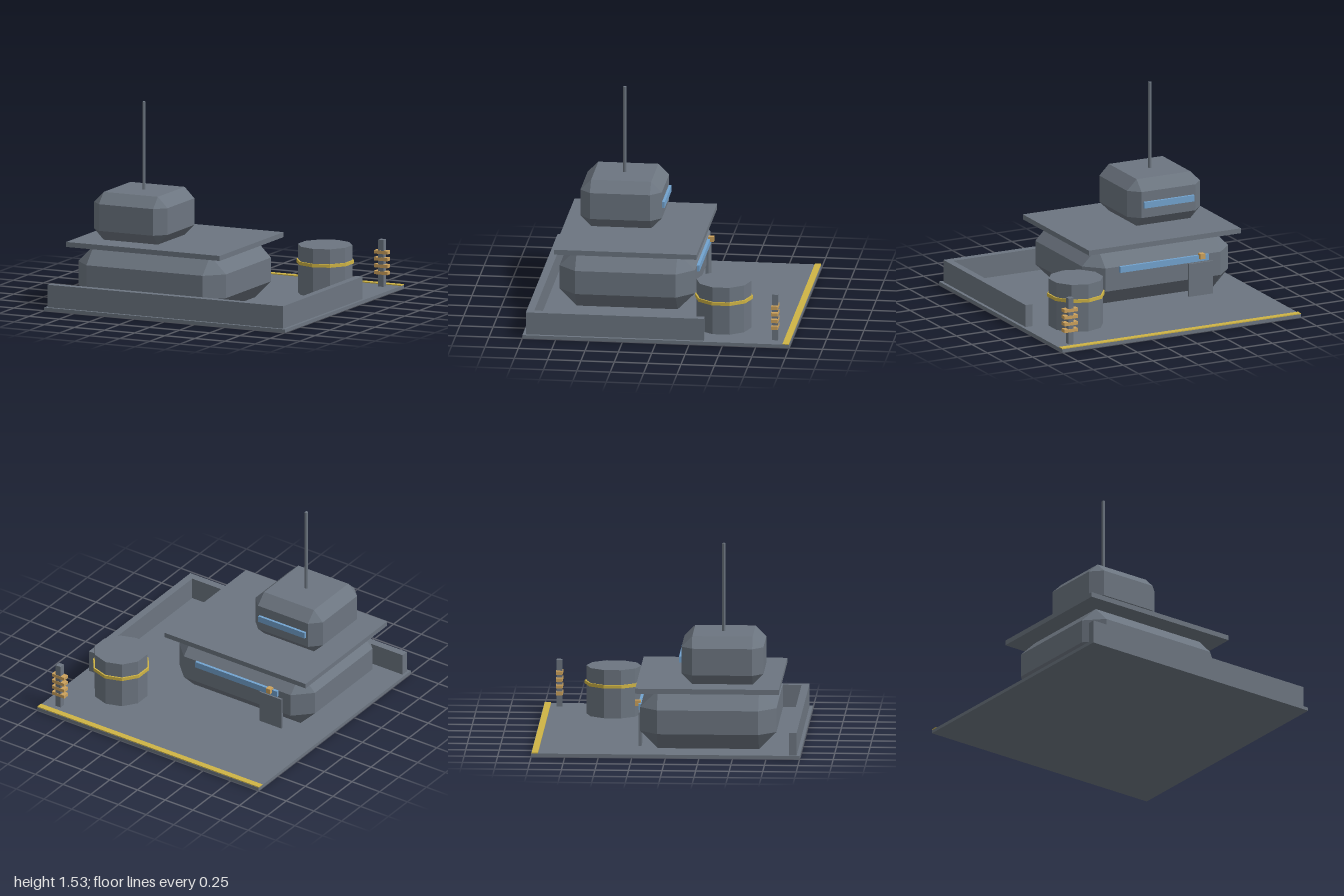
import * as THREE from 'three';
import { ConvexGeometry } from 'three/addons/geometries/ConvexGeometry.js';

const material = (name, color) => {
  const m = new THREE.MeshStandardMaterial({ color });
  m.name = name;
  m.flatShading = true;
  return m;
};

export function createModel() {
  const model = new THREE.Group();
  model.name = 'outpost';
  const grey = material('slateGrey', 0x6c7580);
  const yellow = material('markingYellow', 0xcfb445);
  const orange = material('copperOrange', 0xcda25c);
  const blue = material('windowBlue', 0x72a3cf);

  const add = (name, geometry, mat, x = 0, y = 0, z = 0) => {
    const mesh = new THREE.Mesh(geometry, mat);
    mesh.name = name;
    mesh.position.set(x, y, z);
    model.add(mesh);
    return mesh;
  };

  // Box given by its limits on each axis
  const block = (name, mat, [x0, x1], [y0, y1], [z0, z1]) =>
    add(name, new THREE.BoxGeometry(x1 - x0, y1 - y0, z1 - z0), mat,
      (x0 + x1) / 2, (y0 + y1) / 2, (z0 + z1) / 2);

  // Box with every edge and corner cut at 45 degrees
  const chamferedBlock = (name, mat, [x0, x1], [y0, y1], [z0, z1], cut) => {
    const w = (x1 - x0) / 2, h = (y1 - y0) / 2, d = (z1 - z0) / 2;
    const points = [];
    for (const i of [-1, 1]) for (const j of [-1, 1]) for (const k of [-1, 1]) {
      points.push(
        new THREE.Vector3(i * w, j * (h - cut), k * (d - cut)),
        new THREE.Vector3(i * (w - cut), j * h, k * (d - cut)),
        new THREE.Vector3(i * (w - cut), j * (h - cut), k * d));
    }
    add(name, new ConvexGeometry(points), mat, (x0 + x1) / 2, (y0 + y1) / 2, (z0 + z1) / 2);
  };

  // Ground slab with a marking along the back edge
  block('baseSlab', grey, [-1, 1], [0, 0.025], [-1, 1]);
  block('edgeMarking', yellow, [-1, 1], [0.025, 0.032], [-0.997, -0.95]);

  // Low walls along the front and the left
  block('frontWall', grey, [-0.98, 0.975], [0.025, 0.195], [0.92, 0.977]);
  block('sideWall', grey, [0.92, 0.975], [0.025, 0.195], [-0.357, 0.92]);

  // Two storeys with an overhanging roof between them
  chamferedBlock('lowerStorey', grey, [-0.87, 0.355], [0.025, 0.465], [-0.2, 0.815], 0.13);
  block('roofSlab', grey, [-0.895, 0.38], [0.465, 0.503], [-0.23, 0.84]);
  chamferedBlock('upperStorey', grey, [-0.765, -0.155], [0.503, 0.865], [0.105, 0.715], 0.08);
  add('mast', new THREE.CylinderGeometry(0.013, 0.013, 0.67, 8), grey, -0.462, 1.195, 0.41);

  // Rear windows, door and door lamp
  block('lowerWindow', blue, [-0.63, 0.11], [0.29, 0.337], [-0.22, -0.195]);
  block('upperWindow', blue, [-0.67, -0.25], [0.66, 0.708], [0.085, 0.11]);
  block('door', grey, [-0.668, -0.468], [0.025, 0.278], [-0.216, -0.195]);
  block('doorLamp', orange, [-0.587, -0.547], [0.313, 0.353], [-0.247, -0.205]);

  // Ten-sided tank with a band
  add('tank', new THREE.CylinderGeometry(0.205, 0.205, 0.365, 10), grey, 0.61, 0.2075, -0.464);
  add('tankBand', new THREE.CylinderGeometry(0.217, 0.217, 0.025, 10), yellow, 0.61, 0.265, -0.464);

  // Coil post with four plates
  block('coilPost', grey, [0.855, 0.899], [0.025, 0.38], [-0.903, -0.859]);
  for (let i = 0; i < 4; i++) {
    add('coilPlate', new THREE.BoxGeometry(0.112, 0.025, 0.05), orange,
      0.876, 0.129 + i * 0.052, -0.881);
  }

  return model;
}
